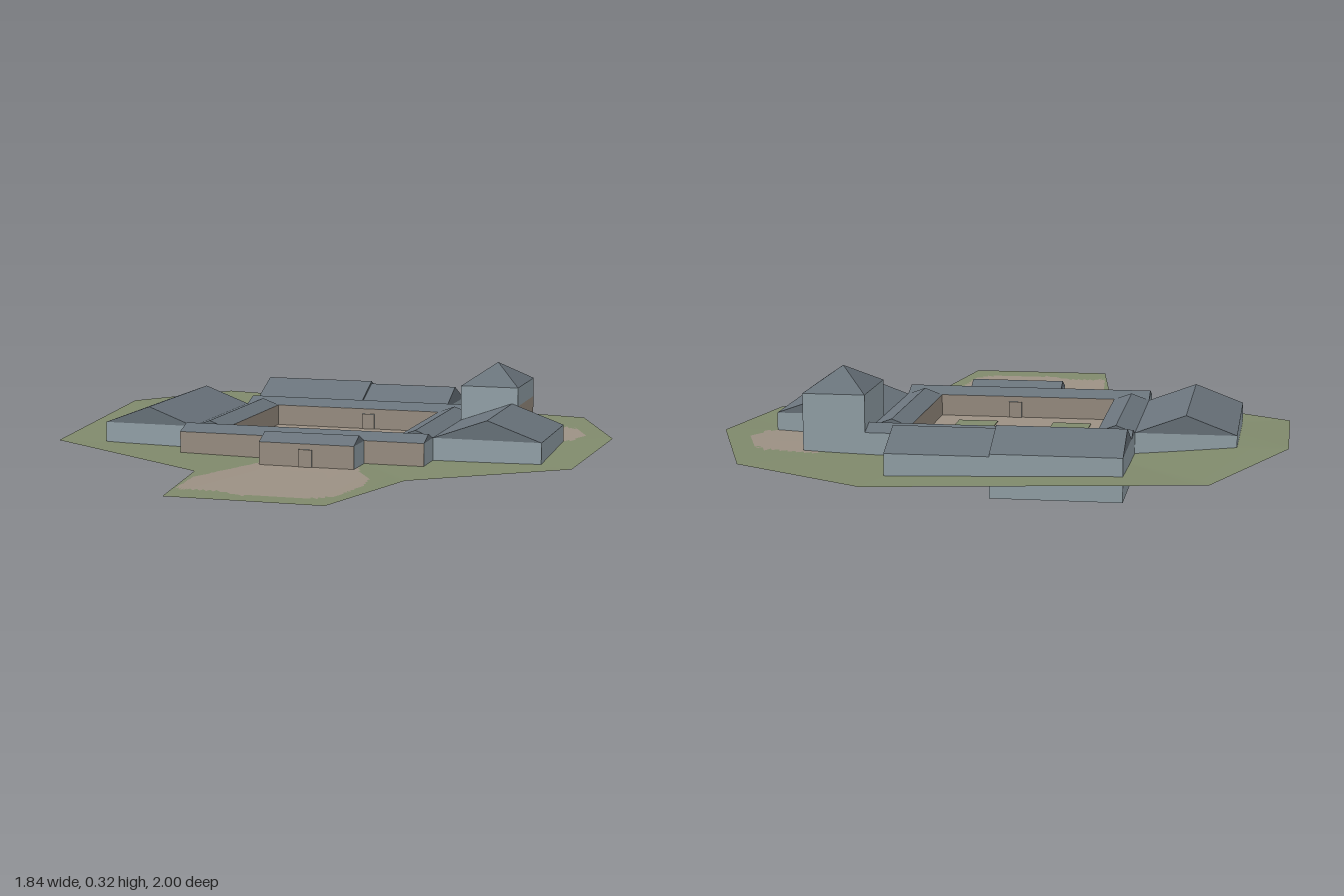
import * as THREE from 'three';

const material = (name, color, side = THREE.FrontSide) => {
  const m = new THREE.MeshStandardMaterial({ color, side });
  m.name = name;
  return m;
};

export function createModel() {
  const model = new THREE.Group();
  model.name = 'courtyardCompound';
  const wall = material('paleWall', 0x97a6ad);
  const roof = material('slateRoof', 0x6a747c);
  const earth = material('earth', 0x9c9184, THREE.DoubleSide);
  const grass = material('grass', 0x808a6c, THREE.DoubleSide);

  const add = (name, geometry, mat, parent = model) => {
    const mesh = new THREE.Mesh(geometry, mat);
    mesh.name = name;
    parent.add(mesh);
    return mesh;
  };

  // Box from its limits; earthSides lists faces in earth colour (+x -x +y -y +z -z)
  const box = (name, [x0, x1], [y0, y1], [z0, z1], mat, earthSides = [], parent = model) => {
    const g = new THREE.BoxGeometry(x1 - x0, y1 - y0, z1 - z0);
    g.translate((x0 + x1) / 2, (y0 + y1) / 2, (z0 + z1) / 2);
    const mats = earthSides.length
      ? [0, 1, 2, 3, 4, 5].map((i) => (earthSides.includes(i) ? earth : mat)) : mat;
    return add(name, g, mats, parent);
  };

  // Gable roof prism with its ridge along 'x' or 'z'
  const gable = (name, [x0, x1], [z0, z1], eave, ridge, axis, parent) => {
    const [a, b] = axis === 'z' ? [x0, x1] : [-z1, -z0];
    const shape = new THREE.Shape([
      new THREE.Vector2(a, eave), new THREE.Vector2(b, eave), new THREE.Vector2((a + b) / 2, ridge),
    ]);
    const depth = axis === 'z' ? z1 - z0 : x1 - x0;
    const g = new THREE.ExtrudeGeometry(shape, { depth, bevelEnabled: false });
    g.translate(0, 0, axis === 'z' ? z0 : x0);
    if (axis === 'x') g.rotateY(Math.PI / 2);
    add(name, g, roof, parent);
  };

  // Buildings: name, x range, z range, base, eave, ridge, ridge axis, earth faces
  const buildings = [
    ['southWing', [-0.44, 0.40], [0.12, 0.24], 0.05, 0.13, 0.152, 'x', [4, 5]],
    ['northWing', [-0.44, 0.40], [-0.56, -0.44], 0, 0.13, 0.152, 'x', []],
    ['westWing', [-0.44, -0.32], [-0.44, 0.12], 0.05, 0.13, 0.152, 'z', [0]],
    ['eastWing', [0.28, 0.40], [-0.44, 0.12], 0.05, 0.13, 0.152, 'z', [1]],
    ['gatehouse', [-0.12, 0.20], [0.24, 0.36], 0.05, 0.13, 0.156, 'x', [4]],
    ['rearHallWest', [-0.44, -0.04], [-0.84, -0.56], 0, 0.135, 0.195, 'x', []],
    ['rearHallEast', [-0.04, 0.28], [-0.84, -0.56], 0.05, 0.127, 0.186, 'x', []],
    ['westHall', [-0.76, -0.44], [-0.44, 0.12], 0.05, 0.13, 0.19, 'z', []],
    ['eastHall', [0.40, 0.76], [-0.28, 0.12], 0.05, 0.13, 0.195, 'z', []],
  ];
  for (const [name, xs, zs, base, eave, ridge, axis, earthSides] of buildings) {
    const group = new THREE.Group();
    group.name = name;
    model.add(group);
    box(name + 'Walls', xs, [base, eave], zs, wall, earthSides, group);
    gable(name + 'Roof', xs, zs, eave, ridge, axis, group);
  }
  box('northCourtWall', [-0.32, 0.28], [0.05, 0.13], [-0.44, -0.437], earth);

  // Corner tower: earth-faced lower storey, pale upper storey, pyramid roof
  const tower = new THREE.Group();
  tower.name = 'tower';
  model.add(tower);
  box('towerLower', [0.40, 0.60], [0.05, 0.185], [-0.56, -0.28], wall, [0], tower);
  box('towerUpper', [0.40, 0.60], [0.185, 0.25], [-0.56, -0.28], wall, [], tower);
  const cap = new THREE.ConeGeometry(Math.SQRT1_2, 0.07, 4, 1).toNonIndexed();
  cap.rotateY(Math.PI / 4);
  cap.scale(0.2, 1, 0.28);
  cap.translate(0.5, 0.285, -0.42);
  cap.computeVertexNormals();
  add('towerRoof', cap, roof, tower);

  // Doors as shallow plates
  box('gateDoor', [0.015, 0.06], [0.05, 0.112], [0.36, 0.366], wall, [4]);
  box('southCourtDoor', [0.0, 0.045], [0.05, 0.112], [0.114, 0.12], wall, [5]);
  box('northCourtDoor', [0.0, 0.045], [0.05, 0.112], [-0.437, -0.431], wall, [4]);
  box('towerDoor', [0.60, 0.606], [0.05, 0.112], [-0.44, -0.40], wall, [0]);

  // Courtyard paving and four lawns, visible from both sides
  box('courtyard', [-0.32, 0.28], [0.052, 0.058], [-0.44, 0.12], earth);
  for (const xs of [[-0.25, -0.12], [0.07, 0.205]]) {
    for (const zs of [[-0.36, -0.215], [-0.14, 0.035]]) {
      box('lawn', xs, [0.05, 0.06], zs, grass);
    }
  }

  // Terrain rim: x, y, z
  const rim = [
    [-0.70, 0.095, -0.98], [0.32, 0.06, -1.0], [0.74, 0.075, -0.82], [0.92, 0.08, -0.34],
    [0.87, 0.06, 0.18], [0.40, 0.051, 0.48], [0.30, 0.065, 1.0], [-0.20, 0.065, 1.0],
    [-0.26, 0.064, 0.58], [-0.92, 0.065, 0.16], [-0.92, 0.11, -0.52],
  ].map((p) => new THREE.Vector3(...p));
  // Bare-earth patches: x, z
  const patches = [
    [[-0.12, 0.3], [0.2, 0.3], [0.23, 0.4], [0.29, 0.5], [0.31, 0.63], [0.28, 0.84], [0.22, 0.9],
      [0.0, 0.91], [-0.09, 0.86], [-0.21, 0.87], [-0.23, 0.68], [-0.18, 0.5]],
    [[0.55, -0.59], [0.72, -0.59], [0.78, -0.52], [0.81, -0.4], [0.79, -0.31], [0.74, -0.27], [0.55, -0.27]],
  ];
  const inside = (x, z, poly) => {
    let hit = false;
    poly.forEach(([ax, az], i) => {
      const [bx, bz] = poly[(i + 1) % poly.length];
      if ((az > z) !== (bz > z) && x < ax + ((z - az) / (bz - az)) * (bx - ax)) hit = !hit;
    });
    return hit;
  };

  // Terrain: rings from a level centre out to the rim
  const perEdge = 20, rings = 40, count = rim.length * perEdge, level = 0.055;
  const positions = [], grassFaces = [], earthFaces = [];
  for (let r = 0; r <= rings; r++) {
    const t = r / rings;
    const rise = Math.max(0, (t - 0.45) / 0.55);
    for (let i = 0; i < count; i++) {
      const e = Math.floor(i / perEdge);
      const p = rim[e].clone().lerp(rim[(e + 1) % rim.length], (i % perEdge) / perEdge);
      positions.push(p.x * t, level + (p.y - level) * rise, p.z * t);
    }
  }
  const face = (a, b, c) => {
    const mid = (k) => (positions[a * 3 + k] + positions[b * 3 + k] + positions[c * 3 + k]) / 3;
    const bare = patches.some((poly) => inside(mid(0), mid(2), poly));
    (bare ? earthFaces : grassFaces).push(a, b, c);
  };
  for (let r = 0; r < rings; r++) {
    for (let i = 0; i < count; i++) {
      const j = (i + 1) % count;
      const a = r * count + i, b = r * count + j, c = a + count, d = b + count;
      if (r > 0) face(a, b, c);
      face(b, d, c);
    }
  }
  const ground = new THREE.BufferGeometry();
  ground.setAttribute('position', new THREE.Float32BufferAttribute(positions, 3));
  ground.setIndex([...grassFaces, ...earthFaces]);
  ground.addGroup(0, grassFaces.length, 0);
  ground.addGroup(grassFaces.length, earthFaces.length, 1);
  ground.computeVertexNormals();
  // Turn the faces upward if the rim order left them facing down
  if (ground.attributes.normal.getY(count * 5) < 0) {
    const ix = ground.index.array;
    for (let k = 0; k < ix.length; k += 3) [ix[k], ix[k + 1]] = [ix[k + 1], ix[k]];
    ground.computeVertexNormals();
  }
  add('terrain', ground, [grass, earth]);
  return model;
}
